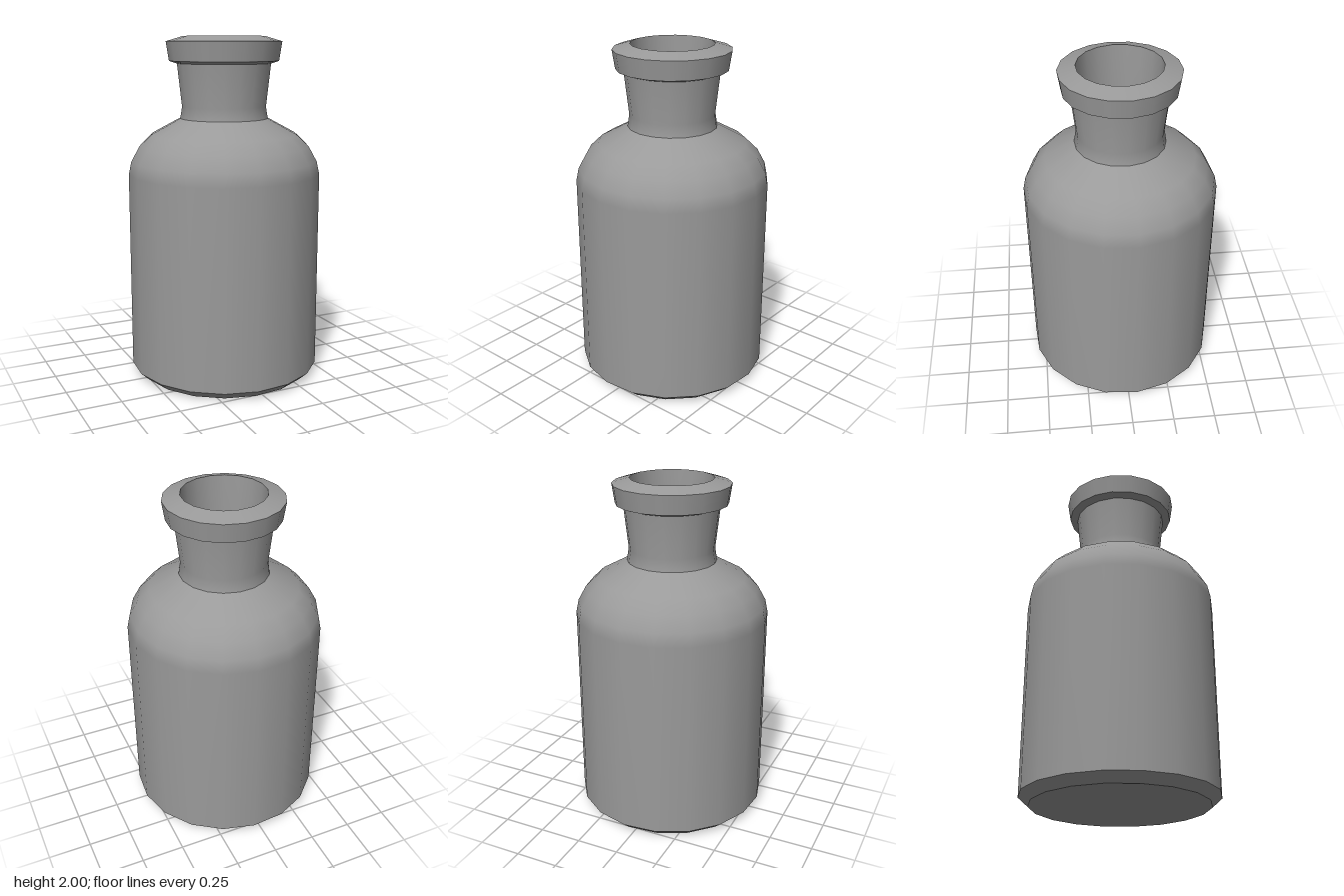
import * as THREE from 'three';

const SIDES = 18;
const TURN = THREE.MathUtils.degToRad(15);

export function createModel() {
  const bottle = new THREE.Group();
  bottle.name = 'bottle';
  const material = new THREE.MeshStandardMaterial({ color: 0x9a9a9a });

  // Each band is smooth in itself; separate bands meet in a sharp edge.
  // Profiles run up the outside and down the inside, as [radius, height].
  const addBand = (name, profile) => {
    const points = profile.map(([r, y]) => new THREE.Vector2(r, y));
    const mesh = new THREE.Mesh(new THREE.LatheGeometry(points, SIDES, TURN), material);
    mesh.name = name;
    bottle.add(mesh);
  };

  // Body
  addBand('base', [[0, 0], [0.507, 0]]);
  addBand('baseBevel', [[0.507, 0], [0.563, 0.05]]);
  addBand('bodyAndShoulder', [
    [0.563, 0.05], [0.563, 1.21], [0.547, 1.285], [0.5, 1.37], [0.43, 1.437], [0.258, 1.53],
  ]);

  // Neck and lip
  addBand('neck', [[0.258, 1.53], [0.247, 1.6], [0.274, 1.845]]);
  addBand('lipUnderside', [[0.274, 1.845], [0.32, 1.86]]);
  addBand('lipSide', [[0.32, 1.86], [0.337, 1.97]]);
  addBand('lipTop', [[0.337, 1.97], [0.237, 2]]);

  // Hollow inside
  addBand('neckInside', [[0.237, 2], [0.222, 1.6], [0.235, 1.51]]);
  addBand('bodyInside', [
    [0.235, 1.51], [0.415, 1.413], [0.48, 1.35], [0.522, 1.275], [0.538, 1.21], [0.538, 0.06], [0.495, 0.025],
  ]);
  addBand('floorInside', [[0.495, 0.025], [0, 0.025]]);

  return bottle;
}
